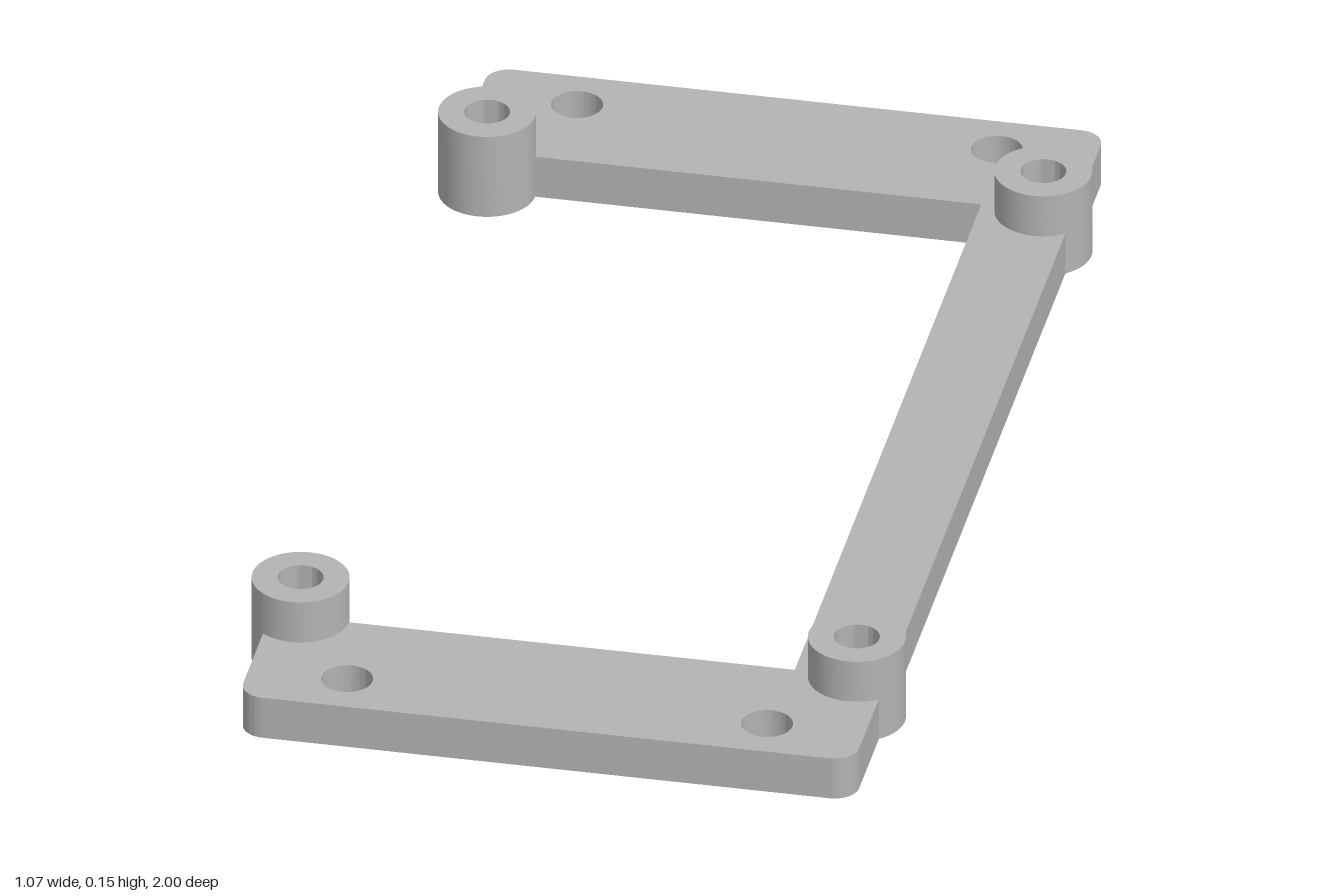
import * as THREE from 'three';
import { toCreasedNormals } from 'three/addons/utils/BufferGeometryUtils.js';

const HALF_W = 0.506, INNER_Z = 0.741, BAR_X = 0.355, CORNER = 0.04;
const PLATE_H = 0.075, BOSS_H = 0.15;
const BOSS_X = 0.457, BOSS_R = 0.079, BORE_R = 0.037, SEAT_R = 0.045;
const HOLE_X = 0.345, HOLE_Z = 0.914, HOLE_R = 0.042;

function circle(x, z, r) {
  return new THREE.Path().absarc(x, z, r, 0, Math.PI * 2, true);
}

// Extrudes a floor-plan shape (shape y becomes z) upwards from y = 0
function extrudeUp(shape, height) {
  const g = new THREE.ExtrudeGeometry(shape, { depth: height, bevelEnabled: false, curveSegments: 24 });
  g.rotateX(Math.PI / 2).translate(0, height, 0);
  return toCreasedNormals(g, 0.6);
}

// C-shaped plan: two end plates joined by one side bar
function frameShape() {
  const P = Math.PI, X = HALF_W - CORNER, Z = 1 - CORNER;
  const s = new THREE.Shape();
  s.moveTo(-X, -1);
  s.absarc(X, -Z, CORNER, -P / 2, 0);
  s.absarc(X, Z, CORNER, 0, P / 2);
  s.absarc(-X, Z, CORNER, P / 2, P);
  s.lineTo(-HALF_W, INNER_Z);
  // notches keep the bores of the free-end bosses open
  s.absarc(-BOSS_X, INNER_Z, SEAT_R, P, 0, true);
  s.lineTo(BAR_X, INNER_Z);
  s.lineTo(BAR_X, -INNER_Z);
  s.absarc(-BOSS_X, -INNER_Z, SEAT_R, 0, -P, true);
  s.lineTo(-HALF_W, -INNER_Z);
  s.absarc(-X, -Z, CORNER, P, 1.5 * P);
  for (const side of [-1, 1]) {
    s.holes.push(circle(BOSS_X, side * INNER_Z, SEAT_R));
    for (const x of [-HOLE_X, HOLE_X]) s.holes.push(circle(x, side * HOLE_Z, HOLE_R));
  }
  return s;
}

export function createModel() {
  const group = new THREE.Group();
  group.name = 'mountingBracket';
  const grey = new THREE.MeshStandardMaterial({ color: 0xb3b3b3 });
  grey.name = 'grey';

  const frame = new THREE.Mesh(extrudeUp(frameShape(), PLATE_H), grey);
  frame.name = 'frame';
  group.add(frame);

  // Four hollow standoff bosses
  const ring = new THREE.Shape().absarc(0, 0, BOSS_R, 0, Math.PI * 2);
  ring.holes.push(circle(0, 0, BORE_R));
  const bossGeometry = extrudeUp(ring, BOSS_H);
  for (const x of [-1, 1]) for (const z of [-1, 1]) {
    const boss = new THREE.Mesh(bossGeometry, grey);
    boss.name = (z > 0 ? 'front' : 'back') + (x > 0 ? 'Left' : 'Right') + 'Boss';
    boss.position.set(x * BOSS_X, 0, z * INNER_Z);
    group.add(boss);
  }
  return group;
}
